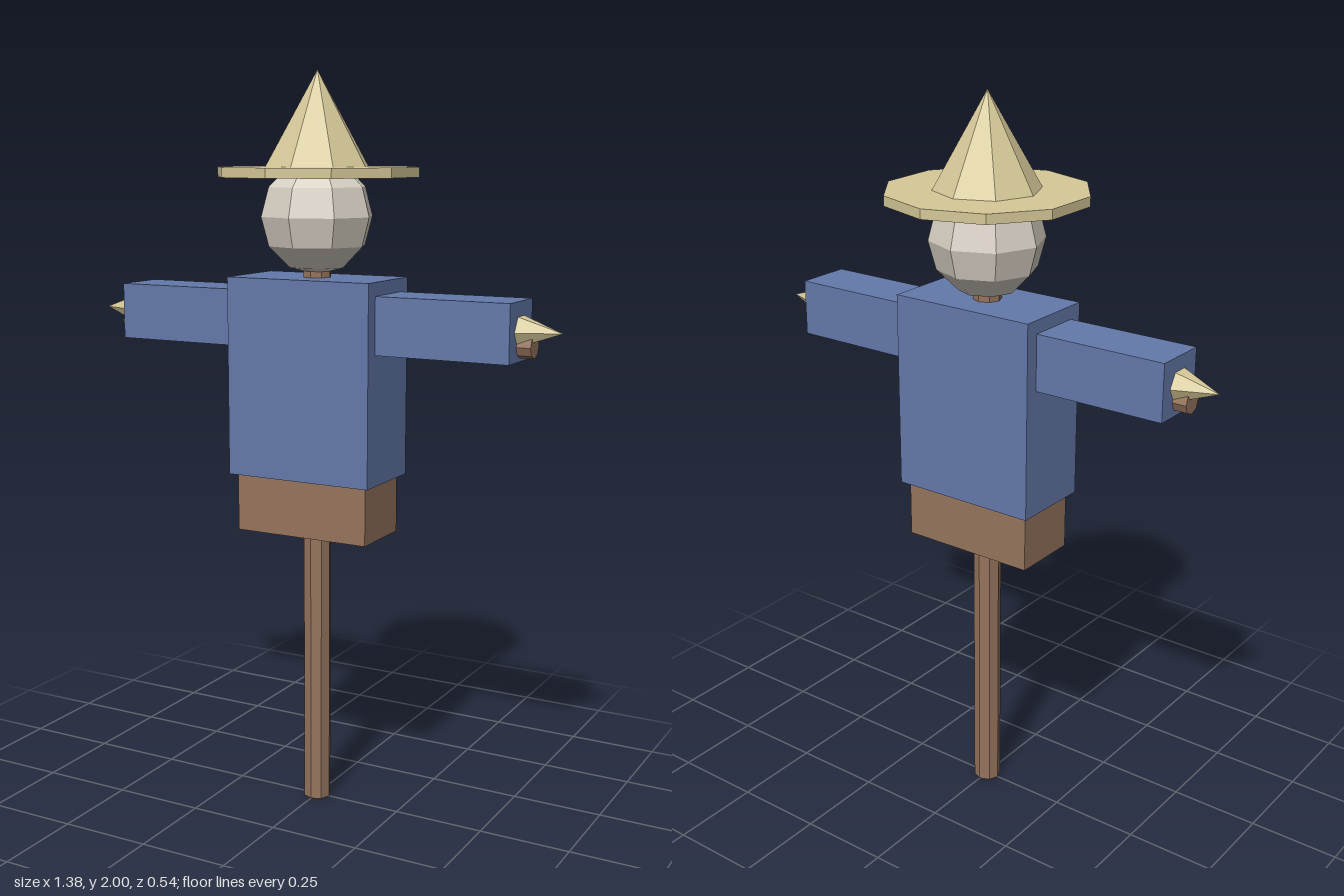
import * as THREE from 'three';

export function createModel() {
  const group = new THREE.Group();
  group.name = 'scarecrow';

  const material = (name, color) => {
    const m = new THREE.MeshStandardMaterial({ color, flatShading: true });
    m.name = name;
    return m;
  };
  const blue = material('blue cloth', 0x6479aa);
  const brown = material('brown wood', 0x95745d);
  const straw = material('straw', 0xd6c898);
  const sack = material('sackcloth', 0xd8d0c4);

  const add = (name, geometry, mat, x, y, z = 0) => {
    const mesh = new THREE.Mesh(geometry, mat);
    mesh.name = name;
    mesh.position.set(x, y, z);
    group.add(mesh);
    return mesh;
  };

  // Upright post, running through the body up to the head
  add('post', new THREE.CylinderGeometry(0.038, 0.038, 1.52, 8), brown, 0, 0.76);

  // Crossbar inside the sleeves, poking out at both ends
  add('crossbar', new THREE.CylinderGeometry(0.03, 0.03, 1.23, 8), brown, 0, 1.317)
    .rotation.z = Math.PI / 2;

  // Clothes
  add('trousers', new THREE.BoxGeometry(0.388, 0.175, 0.19), brown, 0, 0.8605);
  add('shirt', new THREE.BoxGeometry(0.42, 0.535, 0.23), blue, 0, 1.1985);

  // Sleeves and straw hands
  for (const [side, s] of [['left', 1], ['right', -1]]) {
    add(side + 'Sleeve', new THREE.BoxGeometry(0.387, 0.152, 0.152), blue, s * 0.3835, 1.354);
    add(side + 'Hand', new THREE.ConeGeometry(0.045, 0.114, 6), straw, s * 0.631, 1.354)
      .rotation.z = -s * Math.PI / 2;
  }

  // Head
  add('head', new THREE.SphereGeometry(0.153, 8, 6), sack, 0, 1.625);

  // Hat
  add('hatBrim', new THREE.CylinderGeometry(0.269, 0.269, 0.026, 10), straw, 0, 1.74);
  add('hatCrown', new THREE.ConeGeometry(0.143, 0.25, 8), straw, 0, 1.875);

  return group;
}
